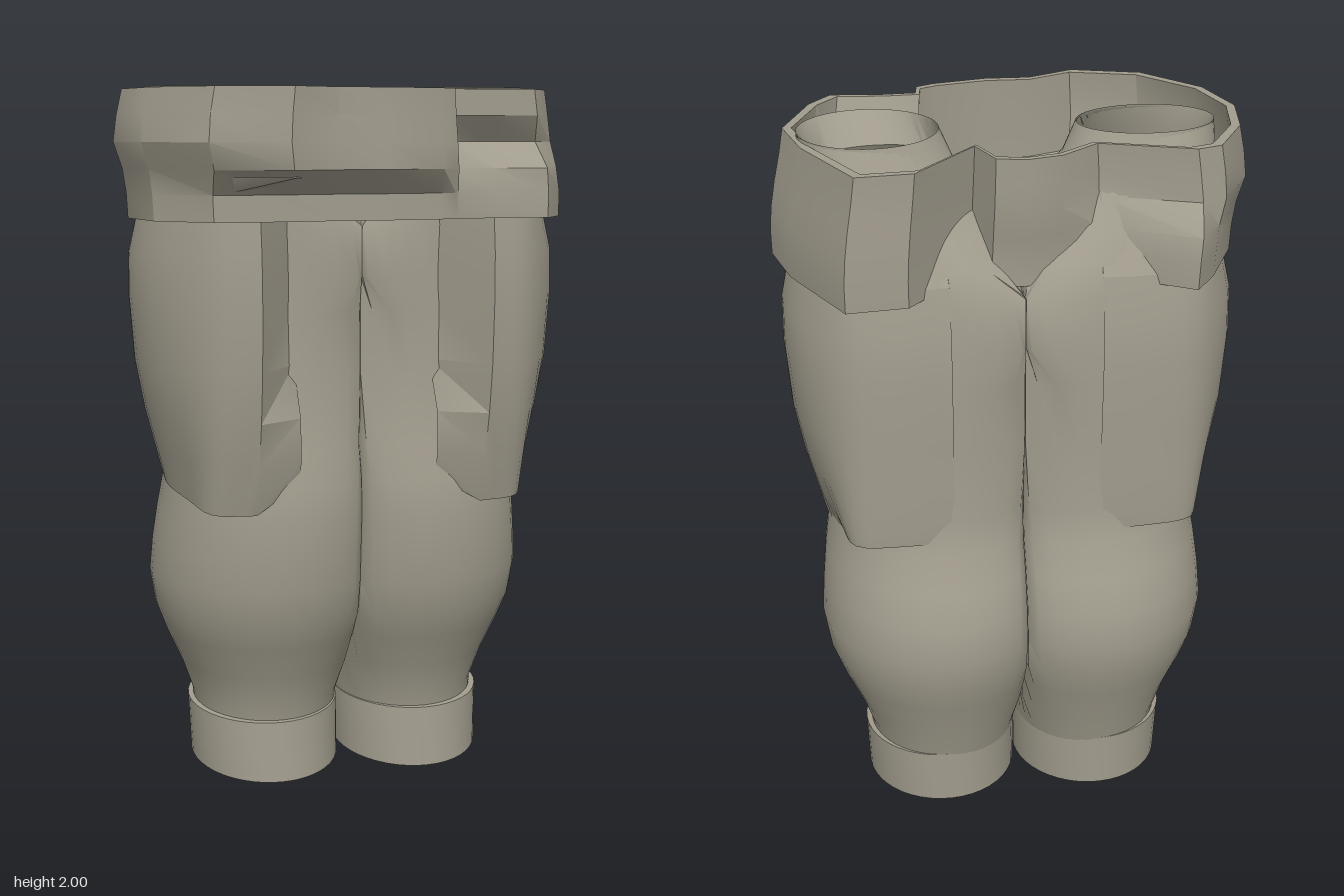
import * as THREE from 'three';
import { toCreasedNormals } from 'three/addons/utils/BufferGeometryUtils.js';

const MID = 0.02; // x of the seam between the legs

// Skin a list of cross-sections, each an array of [x, y, z]
function loft(rings, closed, crease = 0.6) {
  const n = rings[0].length, index = [];
  for (let r = 0; r < rings.length - 1; r++) {
    for (let i = 0; i < (closed ? n : n - 1); i++) {
      const j = (i + 1) % n, a = r * n + i, b = r * n + j;
      index.push(a, b, a + n, b, b + n, a + n);
    }
  }
  const g = new THREE.BufferGeometry();
  g.setAttribute('position', new THREE.Float32BufferAttribute(rings.flat(2), 3));
  g.setIndex(index);
  return toCreasedNormals(g, crease);
}

// Horizontal oval between inner/outer distance from the seam and front/back z,
// cut flat where it would cross the seam
function oval(y, inner, outer, front, back, side, n = 44) {
  const ring = [];
  for (let i = 0; i < n; i++) {
    const t = (-side * i / n) * Math.PI * 2;
    const u = (inner + outer) / 2 + (outer - inner) / 2 * Math.cos(t);
    const z = (front + back) / 2 + (front - back) / 2 * Math.sin(t);
    ring.push([MID + side * Math.max(u, 0.001), typeof y === 'function' ? y(z) : y, z]);
  }
  return ring;
}

// y, inner, outer, front z, back z
const LEG = [
  [0.15, 0.01, 0.43, 0.09, -0.36], [0.22, 0, 0.435, 0.1, -0.38],
  [0.32, -0.035, 0.47, 0.135, -0.405], [0.42, -0.08, 0.515, 0.18, -0.44],
  [0.5, -0.11, 0.545, 0.215, -0.465], [0.6, -0.13, 0.56, 0.235, -0.48],
  [0.7, -0.13, 0.552, 0.242, -0.467], [0.8, -0.13, 0.54, 0.245, -0.435],
  [0.9, -0.13, 0.525, 0.235, -0.39], [1.0, -0.14, 0.52, 0.21, -0.375],
  [1.2, -0.16, 0.53, 0.185, -0.372], [1.38, -0.18, 0.54, 0.18, -0.37],
  [1.48, -0.28, 0.54, 0.18, -0.368], [1.62, -0.25, 0.54, 0.18, -0.36],
  [1.7, -0.08, 0.54, 0.165, -0.33], [1.77, 0.01, 0.53, 0.15, -0.3],
  [1.85, 0.09, 0.525, 0.115, -0.255], [1.92, 0.145, 0.525, 0.075, -0.225],
];
// Front and back z of the rim above each leg
const RIM = { 1: [0.14, -0.21], [-1]: [0.06, -0.2] };

// y, outer, front z, back z, depth of the front return
const THIGH = [
  [0.85, 0.53, 0.24, -0.375, 0.03], [0.98, 0.55, 0.275, -0.378, 0.04],
  [1.1, 0.58, 0.3, -0.378, 0.07], [1.24, 0.605, 0.318, -0.38, 0.16],
  [1.42, 0.617, 0.325, -0.382, 0.175], [1.55, 0.614, 0.322, -0.374, 0.175],
  [1.67, 0.588, 0.308, -0.35, 0.165],
];

function thighRing([y, outer, front, back, depth], row, side) {
  // Rounded outside of the guard
  const curve = new THREE.CatmullRomCurve3([
    [0.33, front], [0.45, front * 0.9], [outer * 0.93, front * 0.45], [outer, -0.03],
    [outer * 0.94, back * 0.58], [0.47, back * 0.93], [0.33, back], [0.2, back + 0.005],
  ].map(([u, z]) => new THREE.Vector3(u, 0, z)));
  const pts = curve.getPoints(28).map((p) => [p.x, p.z]);
  // Inward-facing return at the front edge
  pts.unshift([0.2, front - depth]);
  return pts.map(([u, z]) => {
    const lift = row ? 0 : 0.1 * THREE.MathUtils.clamp((0.24 - z) / 0.5, 0, 1) - 0.015;
    return [MID + side * u, y + lift + (!row && u < 0.25 && z > 0 ? 0.07 : 0), z];
  });
}

// Outer run of the rim, point for point with a thigh ring
function rimArc(y, side, n) {
  const [front, back] = RIM[side];
  return Array.from({ length: n }, (_, i) => {
    const t = THREE.MathUtils.lerp(2.8, -2.6, i / (n - 1));
    return [MID + side * (0.365 + 0.185 * Math.cos(t)), y,
      (front + back) / 2 + (front - back) / 2 * Math.sin(t)];
  });
}

// Waistband outline: x, then z at the top, notch, ledge, bottom and inner lip
const WAIST = [
  [-0.65, 0.04, 0.04, 0.04, 0.04, 0.04], [-0.61, 0.23, 0.24, 0.23, 0.22, 0.2],
  [-0.47, 0.41, 0.42, 0.4, 0.35, 0.34], [-0.27, 0.475, 0.48, 0.47, 0.36, 0.285],
  [-0.13, 0.415, 0.42, 0.42, 0.35, 0.315], [0, 0.425, 0.43, 0.43, 0.36, 0.345],
  [0.17, 0.395, 0.4, 0.4, 0.35, 0.3], [0.225, 0.37, 0.37, 0.37, 0.34, 0.27],
  [0.235, 0.31, 0.27, 0.32, 0.335, 0.21], [0.35, 0.31, 0.25, 0.315, 0.33, 0.235],
  [0.49, 0.33, 0.29, 0.355, 0.355, 0.25], [0.56, 0.25, 0.24, 0.26, 0.27, 0.2],
  [0.65, 0.04, 0.04, 0.04, 0.04, 0.04], [0.61, -0.14, -0.14, -0.14, -0.14, -0.13],
  [0.49, -0.395, -0.4, -0.405, -0.41, -0.36], [0.33, -0.39, -0.395, -0.4, -0.4, -0.35],
  [0.14, -0.2, -0.2, -0.2, -0.2, -0.17], [0.1, -0.31, -0.31, -0.3, -0.29, -0.26],
  [0.02, -0.33, -0.33, -0.32, -0.31, -0.28], [-0.08, -0.31, -0.31, -0.3, -0.29, -0.26],
  [-0.19, -0.23, -0.23, -0.26, -0.26, -0.2], [-0.44, -0.32, -0.33, -0.4, -0.41, -0.31],
  [-0.51, -0.3, -0.3, -0.31, -0.32, -0.28], [-0.61, -0.14, -0.14, -0.14, -0.14, -0.13],
];

// One level of the band: column of z, scale on the -x and +x halves, inset
const waistRing = (y, col, left, right, sx = 1, sz = 1) =>
  WAIST.map((p) => [p[0] * (p[0] < 0 ? left : right) * sx, y, p[col] * sz]);

export function createModel() {
  const cloth = new THREE.MeshStandardMaterial({ color: 0xa19c8d, side: THREE.DoubleSide });
  cloth.name = 'stone grey';
  const model = new THREE.Group();
  model.name = 'legArmour';
  const add = (name, geometry) => {
    const mesh = new THREE.Mesh(geometry, cloth);
    mesh.name = name;
    model.add(mesh);
  };

  for (const [side, label] of [[1, 'left'], [-1, 'right']]) {
    // Trouser leg, joined at the crotch and narrowing to an open rim
    const leg = LEG.map((r) => oval(...r, side));
    leg.push(oval(2, 0.18, 0.55, ...RIM[side], side));
    add(label + 'TrouserLeg', loft(leg, true, 0.9));

    // Thigh guard wrapped round the outside
    const guard = THIGH.map((r, row) => thighRing(r, row, side));
    add(label + 'ThighGuard', loft(guard, false, 0.6));

    // Hip slope from the top of the guard up to the rim
    const top = guard[guard.length - 1];
    add(label + 'HipSlope', loft([top, rimArc(1.995, side, top.length)], false, 0.6));

    // Tilted double-walled ankle cuff
    const low = (z) => 0.002 + (0.125 - z) * 0.09;
    const high = (z) => 0.18 + (0.11 - z) * 0.07;
    add(label + 'Cuff', loft([
      oval(high, 0.022, 0.43, 0.09, -0.36, side),
      oval(low, 0.018, 0.43, 0.111, -0.361, side),
      oval(low, 0.004, 0.444, 0.125, -0.375, side),
      oval(high, 0.002, 0.45, 0.11, -0.378, side),
      oval(high, 0.022, 0.43, 0.09, -0.36, side),
    ], true));
  }

  // Waistband: notched outer wall, wide lower lip, thin upper wall
  add('waistband', loft([
    waistRing(1.715, 5, 0.95, 0.99, 0.95),
    waistRing(1.645, 5, 0.945, 1, 0.95),
    waistRing(1.645, 4, 0.945, 1),
    waistRing(1.715, 4, 0.95, 1),
    waistRing(1.78, 3, 0.965, 0.99),
    waistRing(1.85, 2, 1, 0.97),
    waistRing(1.92, 1, 0.985, 0.945),
    waistRing(1.99, 1, 0.96, 0.925),
    waistRing(1.99, 1, 0.96, 0.925, 0.96, 0.94),
    waistRing(1.86, 2, 0.99, 0.97, 0.96, 0.94),
    waistRing(1.76, 3, 0.96, 0.99, 0.96, 0.94),
    waistRing(1.715, 5, 0.95, 0.99, 0.95),
  ], true, 0.5));

  return model;
}
